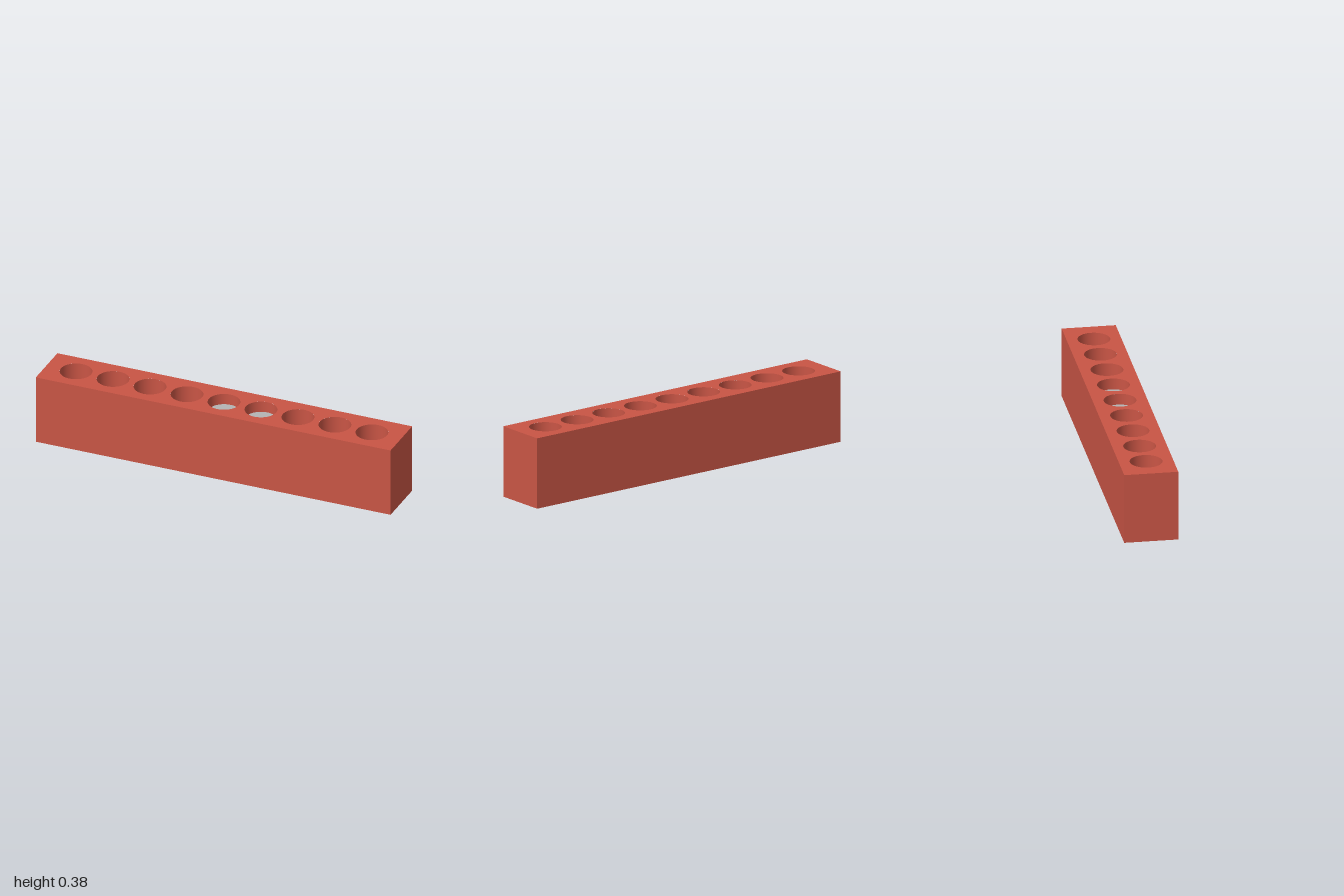
import * as THREE from 'three';

const WIDTH = 2, HEIGHT = 0.38, DEPTH = 0.284;
const HOLES = 9, PITCH = 0.2085, RADIUS = 0.085, FLOOR = 0.05;
const PLUG_TOP = HEIGHT - 0.06, SEGMENTS = 48;

export function createModel() {
  const red = new THREE.MeshStandardMaterial({ color: 0xc95545 });
  red.name = 'brick red';
  const grey = new THREE.MeshStandardMaterial({ color: 0xb4b4b4 });
  grey.name = 'light grey';

  const model = new THREE.Group();
  model.name = 'holeBlock';
  const add = (name, geometry, material, x = 0, y = 0) => {
    const mesh = new THREE.Mesh(geometry, material);
    mesh.name = name;
    mesh.position.set(x, y, 0);
    model.add(mesh);
  };
  const holeX = (i) => (i - (HOLES - 1) / 2) * PITCH;

  // Block sides and underside: a box without its top face
  const body = new THREE.BoxGeometry(WIDTH, HEIGHT, DEPTH);
  const index = Array.from(body.index.array);
  index.splice(12, 6);
  body.setIndex(index);
  body.clearGroups();
  add('blockBody', body, red, 0, HEIGHT / 2);

  // Top face pierced by a row of round holes
  const w = WIDTH / 2, d = DEPTH / 2;
  const outline = new THREE.Shape([
    new THREE.Vector2(-w, -d), new THREE.Vector2(w, -d),
    new THREE.Vector2(w, d), new THREE.Vector2(-w, d),
  ]);
  for (let i = 0; i < HOLES; i++) {
    outline.holes.push(new THREE.Path().absarc(holeX(i), 0, RADIUS, 0, Math.PI * 2, true));
  }
  add('blockTop', new THREE.ShapeGeometry(outline, SEGMENTS).rotateX(-Math.PI / 2), red, 0, HEIGHT);

  // Inward-facing hole walls, listed downwards, and their floors
  const wall = new THREE.LatheGeometry(
    [new THREE.Vector2(RADIUS, HEIGHT), new THREE.Vector2(RADIUS, FLOOR)], SEGMENTS);
  const floor = new THREE.CircleGeometry(RADIUS, SEGMENTS).rotateX(-Math.PI / 2);
  for (let i = 0; i < HOLES; i++) {
    add('holeWall', wall, red, holeX(i));
    add('holeFloor', floor, red, holeX(i), FLOOR);
  }

  // Grey plugs standing in the centre hole and the one to its left
  const plugHeight = PLUG_TOP - FLOOR;
  const plug = new THREE.CylinderGeometry(RADIUS - 0.0005, RADIUS - 0.0005, plugHeight, SEGMENTS);
  for (const i of [4, 5]) add('plug', plug, grey, holeX(i), FLOOR + plugHeight / 2);

  return model;
}
